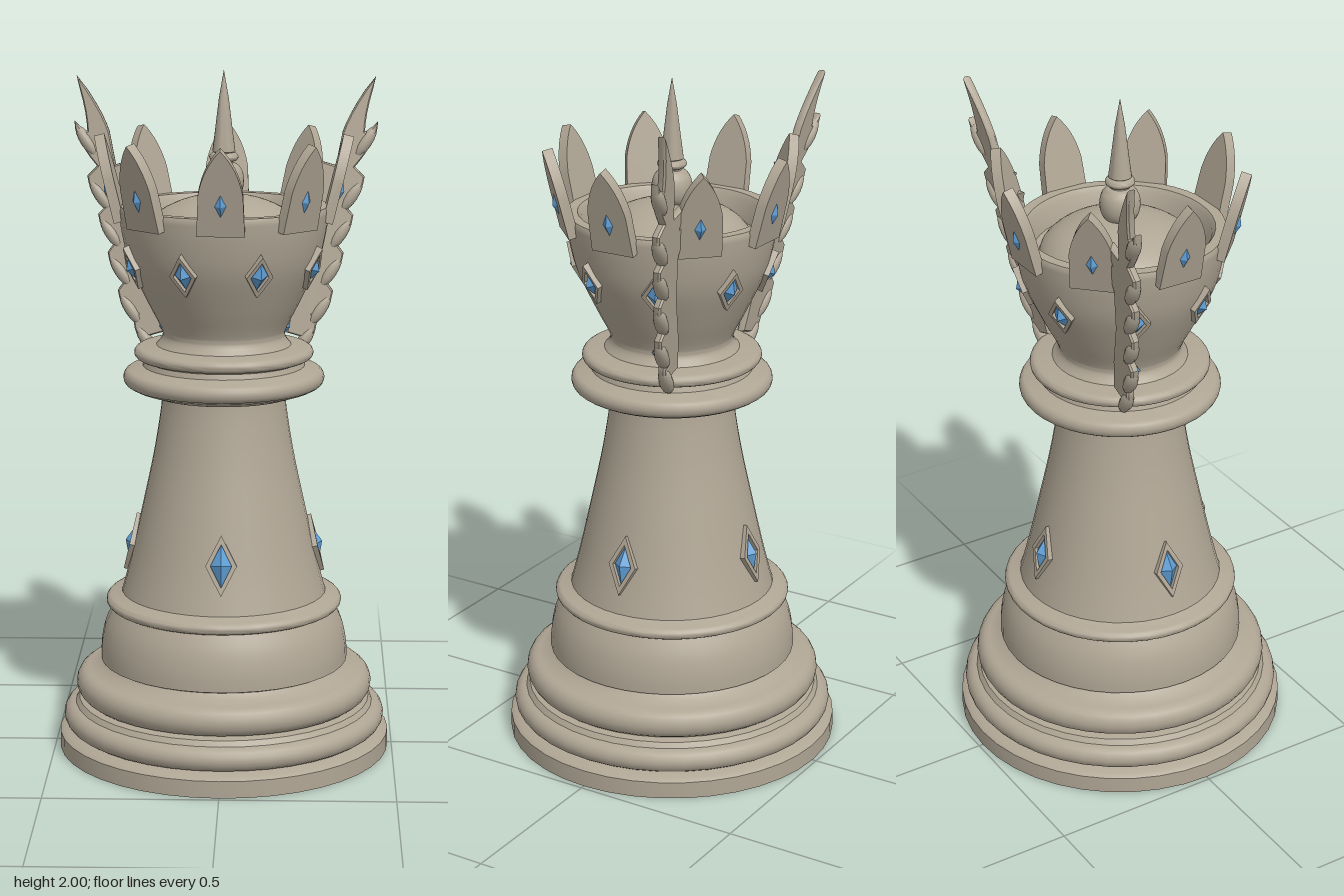
import * as THREE from 'three';
import { toCreasedNormals } from 'three/addons/utils/BufferGeometryUtils.js';

const stone = new THREE.MeshStandardMaterial({ color: 0xb0a695 });
stone.name = 'warm stone';
const blue = new THREE.MeshStandardMaterial({ color: 0x5f9fd6 });
blue.name = 'blue gem';

const vec = (p) => new THREE.Vector2(p[0], p[1]);

function mesh(name, geometry, material = stone) {
  const m = new THREE.Mesh(geometry, material);
  m.name = name;
  return m;
}

function lathe(name, points, segments = 40) {
  return mesh(name, toCreasedNormals(new THREE.LatheGeometry(points.map(vec), segments), 0.6));
}

// Half-round moulding profile from y0 to y1, bulging from radius r by d
function bead(r, y0, y1, d, n = 8) {
  return Array.from({ length: n + 1 }, (_, i) => {
    const a = (i / n) * Math.PI;
    return [r + d * Math.sin(a), (y0 + y1) / 2 - ((y1 - y0) / 2) * Math.cos(a)];
  });
}

// Smooth profile through a few points
function smooth(points, n = 16) {
  return new THREE.SplineCurve(points.map(vec)).getPoints(n).map((p) => [p.x, p.y]);
}

// Puts an object on the surface, facing outward at an angle round the axis
function place(object, angle, radius, y, tilt) {
  const g = new THREE.Group();
  g.name = object.name + 'Mount';
  object.position.set(0, y, radius);
  object.rotation.x = tilt;
  g.rotation.y = angle;
  g.add(object);
  return g;
}

function gem(w, h, d) {
  const geo = new THREE.OctahedronGeometry(1).scale(w / 2, h / 2, d);
  return mesh('gem', geo, blue);
}

const diamond = (w, h) => [[0, -h / 2], [w / 2, 0], [0, h / 2], [-w / 2, 0]].map(vec);

// Diamond frame with a faceted gem in it
function framedGem(w, h) {
  const g = new THREE.Group();
  g.name = 'framedGem';
  const shape = new THREE.Shape(diamond(w, h));
  shape.holes.push(new THREE.Path(diamond(w * 0.68, h * 0.7)));
  const frame = mesh('gemFrame', new THREE.ExtrudeGeometry(shape, { depth: 0.03, bevelEnabled: false }));
  frame.position.z = -0.018;
  g.add(frame, gem(w * 0.68, h * 0.7, 0.026));
  return g;
}

// Upright crown leaf with a pointed top
function crownPoint() {
  const g = new THREE.Group();
  g.name = 'crownPoint';
  const s = new THREE.Shape();
  s.moveTo(-0.067, 0);
  s.lineTo(0.067, 0);
  s.lineTo(0.062, 0.12);
  s.quadraticCurveTo(0.048, 0.2, 0, 0.25);
  s.quadraticCurveTo(-0.048, 0.2, -0.062, 0.12);
  const geo = new THREE.ExtrudeGeometry(s, { depth: 0.03, bevelEnabled: false, curveSegments: 8 });
  const jewel = gem(0.032, 0.065, 0.012);
  jewel.position.set(0, 0.09, 0.03);
  g.add(mesh('crownLeaf', toCreasedNormals(geo, 0.6)), jewel);
  return g;
}

// Leaning plane in which each wing lies
const wingZ = (x, y) => -0.125 - 0.13 * (y - 1.21) - 0.08 * (x - 0.25);

function wing(side) {
  const g = new THREE.Group();
  g.name = side > 0 ? 'leftWing' : 'rightWing';
  const barbs = [[0.265, 1.25], [0.312, 1.34], [0.342, 1.45], [0.37, 1.56], [0.402, 1.67], [0.442, 1.825]];
  const notches = [[0.25, 1.275], [0.288, 1.37], [0.318, 1.48], [0.346, 1.585], [0.372, 1.7], [0.402, 1.8]];
  const s = new THREE.Shape();
  s.moveTo(side * 0.185, 1.225);
  s.lineTo(side * 0.235, 1.21);
  barbs.forEach(([x, y], i) => {
    const [nx, ny] = notches[i];
    s.quadraticCurveTo(side * (x - 0.005), y - 0.05, side * x, y);
    s.quadraticCurveTo(side * (nx + 0.012), ny - 0.012, side * nx, ny);
  });
  // Long top feather, then back down the inner edge with its two small prongs
  s.quadraticCurveTo(side * 0.405, 1.87, side * 0.435, 1.955);
  s.quadraticCurveTo(side * 0.365, 1.86, side * 0.345, 1.8);
  for (const [x, y] of [[0.325, 1.7], [0.262, 1.72], [0.285, 1.66], [0.235, 1.665], [0.27, 1.58],
    [0.25, 1.45], [0.205, 1.32]]) s.lineTo(side * x, y);
  const geo = new THREE.ExtrudeGeometry(s, {
    depth: 0.012, bevelThickness: 0.006, bevelSize: 0.004, bevelSegments: 1, curveSegments: 5,
  });
  const p = geo.attributes.position;
  for (let i = 0; i < p.count; i++) {
    p.setZ(i, p.getZ(i) - 0.006 + wingZ(Math.abs(p.getX(i)), p.getY(i)));
  }
  g.add(mesh('wingBlade', toCreasedNormals(geo, 0.6)));

  // Raised feathers sweeping out to each barb
  barbs.forEach(([x, y], i) => {
    const a = new THREE.Vector3(side * (x - 0.065), y - 0.1, wingZ(x - 0.065, y - 0.1));
    const b = new THREE.Vector3(side * (x - 0.004), y - 0.01, wingZ(x, y));
    const feather = mesh('feather' + (i + 1), new THREE.SphereGeometry(1, 10, 8));
    feather.scale.set(0.019, a.distanceTo(b) / 2, 0.022);
    feather.position.copy(a).lerp(b, 0.5);
    feather.quaternion.setFromUnitVectors(new THREE.Vector3(0, 1, 0), b.clone().sub(a).normalize());
    g.add(feather);
  });
  return g;
}

export function createModel() {
  const model = new THREE.Group();
  model.name = 'chessQueen';

  // Stepped base
  model.add(lathe('base', [
    [0, 0], [0.488, 0], [0.488, 0.05], [0.475, 0.06], [0.445, 0.063],
    ...bead(0.44, 0.065, 0.135, 0.035), [0.43, 0.15],
    ...bead(0.4, 0.155, 0.24, 0.037), [0.365, 0.25], [0.352, 0.265],
    ...smooth([[0.364, 0.27], [0.362, 0.32], [0.349, 0.38], [0.325, 0.43]], 8),
    ...bead(0.325, 0.43, 0.465, 0.022), [0.3, 0.475],
  ]));

  // Tapering shaft
  model.add(lathe('shaft', smooth([
    [0.302, 0.465], [0.272, 0.58], [0.236, 0.74], [0.204, 0.89], [0.183, 1.02], [0.178, 1.08],
  ])));

  // Double collar
  model.add(lathe('collar', [
    [0.17, 1.065], [0.215, 1.068], [0.265, 1.085], ...bead(0.27, 1.09, 1.14, 0.022),
    [0.235, 1.15], [0.23, 1.165], ...bead(0.24, 1.17, 1.205, 0.02), [0.2, 1.21], [0.16, 1.215],
  ]));

  // Hollow crown cup
  model.add(lathe('crownCup', [
    ...smooth([[0.2, 1.205], [0.178, 1.235], [0.184, 1.265], [0.222, 1.34], [0.272, 1.45],
      [0.294, 1.54], [0.302, 1.605]], 24),
    [0.298, 1.615], [0.268, 1.615], [0.258, 1.6], [0.246, 1.54], [0.2, 1.535],
  ]));

  // Domed cap and finial
  model.add(lathe('dome', smooth([[0.23, 1.53], [0.216, 1.565], [0.17, 1.605], [0.09, 1.636], [0, 1.645]], 14)));
  model.add(lathe('finial', [
    [0.035, 1.62], ...bead(0.028, 1.635, 1.735, 0.03, 12), [0.026, 1.738],
    ...bead(0.028, 1.74, 1.765, 0.014, 6), [0.033, 1.768], [0.025, 1.83], [0.014, 1.92], [0, 2],
  ], 24));

  // Crown points all round, with framed gems between them
  for (let i = 0; i < 8; i++) {
    const a = (i * Math.PI) / 4;
    model.add(place(crownPoint(), a, 0.282, 1.575, 0.24));
    model.add(place(framedGem(0.08, 0.13), a + Math.PI / 8, 0.272, 1.45, 0.36));
  }

  // Four framed gems on the shaft
  for (let i = 0; i < 4; i++) {
    model.add(place(framedGem(0.09, 0.175), (i * Math.PI) / 2, 0.264, 0.615, -0.23));
  }

  // Wings with a small gem at each root
  for (const side of [1, -1]) {
    model.add(wing(side));
    model.add(place(gem(0.04, 0.06, 0.02), side * 1.92, 0.184, 1.25, 0.2));
  }
  return model;
}
